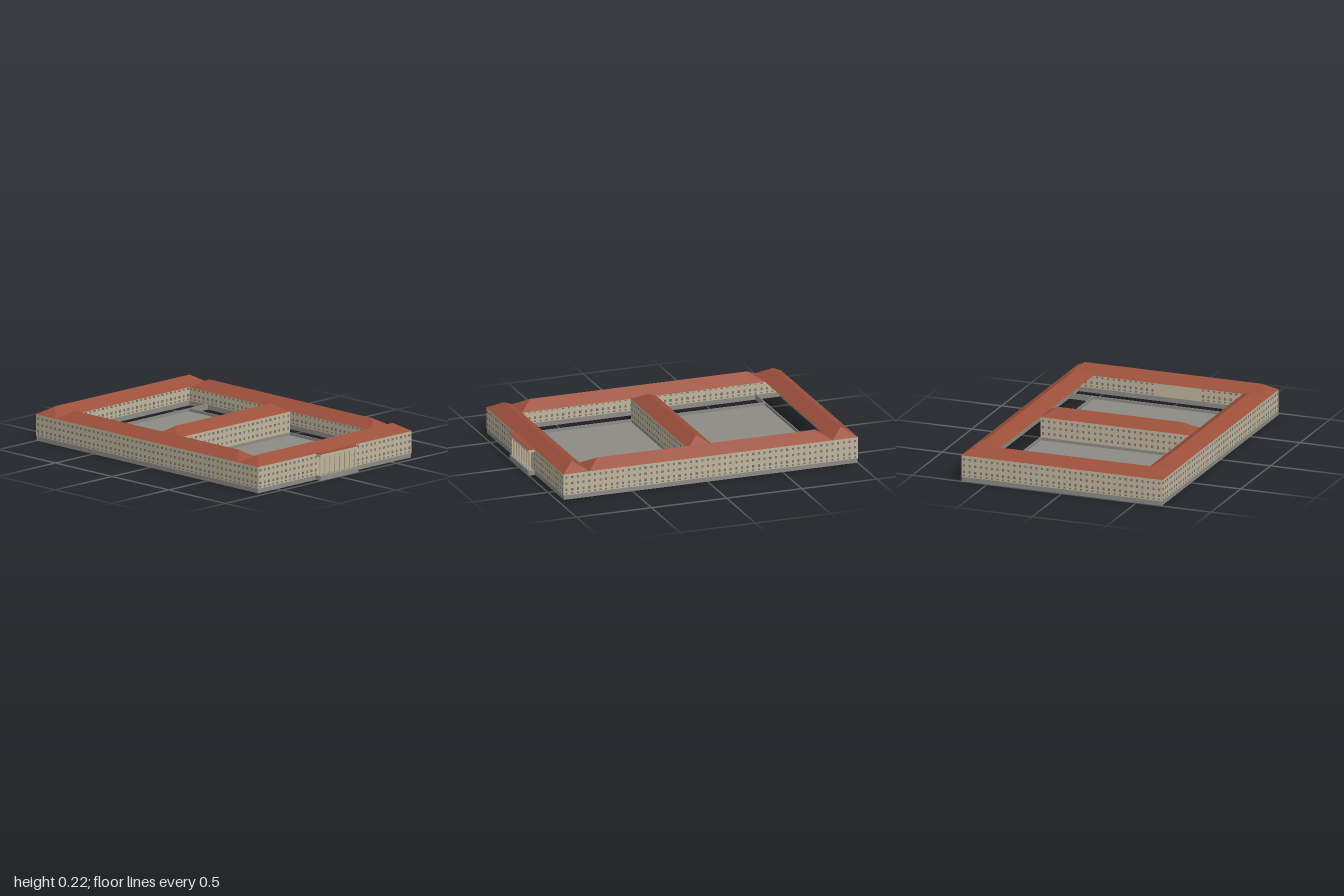
import * as THREE from 'three';
import { mergeGeometries } from 'three/addons/utils/BufferGeometryUtils.js';

const mat = (name, color, opts = {}) => Object.assign(new THREE.MeshStandardMaterial({ color, ...opts }), { name });

export function createModel() {
  const wall = mat('limestone', 0xc2b59b);
  const stone = mat('grey stone', 0x8c8b86);
  const tile = mat('red roof tile', 0x9c4f3a, { flatShading: true });
  const glass = mat('window grey', 0x74777a);

  const model = new THREE.Group();
  model.name = 'courtyardBuilding';
  const add = (name, geo, material) => {
    const m = new THREE.Mesh(geo, material);
    m.name = name;
    model.add(m);
    return m;
  };
  // Box given by its limits on each axis
  const block = (x0, x1, y0, y1, z0, z1) =>
    new THREE.BoxGeometry(x1 - x0, y1 - y0, z1 - z0).translate((x0 + x1) / 2, (y0 + y1) / 2, (z0 + z1) / 2);

  const X = 0.672, XI = 0.5;              // outer and courtyard edges in x
  const ZF = 0.96, ZFI = 0.79;            // front wing
  const ZB = -1, ZBI = -0.83;             // back wing
  const C0 = -0.105, C1 = 0.065;          // cross wing
  const BASE = 0.03, EAVE = 0.17, RIDGE = 0.222, T = 0.006, IN = 0.003;

  // Thin outer walls standing on a slightly recessed plinth
  const outer = (name, x0, x1, z0, z1, dx, dz) => {
    add(name + 'Wall', block(x0, x1, BASE, EAVE, z0, z1), wall);
    add(name + 'Plinth', block(x0 + dx, x1 + dx, 0, BASE, z0 + dz, z1 + dz), stone);
  };
  outer('front', -X, X, ZF - T, ZF, 0, -IN);
  outer('back', -X, X, ZB, ZB + T, 0, IN);
  outer('left', X - T, X, ZB + T, ZF - T, -IN, 0);
  outer('right', -X, -X + T, ZB + T, ZF - T, IN, 0);

  // Low plinth strips along the courtyard side of the wings
  for (const z of [ZFI, ZBI]) add('courtyardPlinth', block(-X + T, X - T, 0, 0.037, z - T / 2, z + T / 2), stone);
  for (const s of [-1, 1]) add('courtyardPlinth', block(s * XI - T / 2, s * XI + T / 2, 0, 0.037, ZBI, ZFI), stone);
  add('courtyardFloor', block(-XI, XI, 0.004, 0.018, ZBI, ZFI), stone);

  // Cross wing
  add('crossWingPlinth', block(-XI + IN, XI - IN, 0.018, 0.037, C0 + IN, C1 - IN), stone);
  add('crossWingWalls', block(-XI, XI, 0.037, EAVE, C0 + 0.002, C1 - 0.002), wall);

  // Hipped roof over a rectangle, ridge along its longer side
  const hip = (x0, x1, z0, z1) => {
    const p = (x, y, z) => [x, y, z];
    let c = [p(x0, EAVE, z1), p(x1, EAVE, z1), p(x1, EAVE, z0), p(x0, EAVE, z0)];
    const h = Math.min(x1 - x0, z1 - z0) / 2, xm = (x0 + x1) / 2, zm = (z0 + z1) / 2;
    let r0 = p(x0 + h, RIDGE, zm), r1 = p(x1 - h, RIDGE, zm);
    if (z1 - z0 > x1 - x0) {
      c = [c[1], c[2], c[3], c[0]];
      r0 = p(xm, RIDGE, z1 - h);
      r1 = p(xm, RIDGE, z0 + h);
    }
    const [a, b, d, e] = c;
    const tris = [a, b, r1, a, r1, r0, b, d, r1, d, e, r0, d, r0, r1, e, a, r0];
    const g = new THREE.BufferGeometry();
    g.setAttribute('position', new THREE.Float32BufferAttribute(tris.flat(), 3));
    g.computeVertexNormals();
    return g;
  };
  const wings = {
    front: [-X - 0.003, X + 0.003, ZFI, ZF + 0.003],
    back: [-X - 0.003, X + 0.003, ZB, ZBI],
    left: [XI, X + 0.003, ZBI, ZFI],
    right: [-X - 0.003, -XI, ZBI, ZFI],
    cross: [-XI, XI, C0, C1],
  };
  for (const [name, [x0, x1, z0, z1]] of Object.entries(wings)) {
    add(name + 'Roof', hip(x0, x1, z0, z1), tile);
    if (name !== 'cross') {
      const e = 0.004;
      add(name + 'Ceiling', block(x0 + e, x1 - e, EAVE - 0.004, EAVE - 0.001, z0 + e, z1 - e), wall);
    }
  }

  // Window rows: centre height and pane height
  const rows = [[0.146, 0.015], [0.106, 0.015], [0.065, 0.017], [0.041, 0.009]];
  const windows = (name, from, to, count, at, alongX, skip = () => false) => {
    const panes = [], depth = T + 0.003, w = 0.0135;
    for (let i = 0; i < count; i++) {
      const u = from + ((to - from) * (i + 0.5)) / count;
      if (skip(u)) continue;
      for (const [y, h] of rows) {
        panes.push(alongX
          ? new THREE.BoxGeometry(w, h, depth).translate(u, y, at)
          : new THREE.BoxGeometry(depth, h, w).translate(at, y, u));
      }
    }
    add(name, mergeGeometries(panes), glass);
  };
  windows('frontWindows', -X, X, 36, ZF - T / 2, true, (u) => Math.abs(u) < 0.165);
  windows('backWindows', -X, X, 36, ZB + T / 2 + 0.001, true);
  for (const s of [-1, 1]) windows('sideWindows', ZB, ZF, 52, s * (X - T / 2), false);
  rows.pop();
  windows('crossFrontWindows', -XI, XI, 26, C1 - 0.002 - T / 2, true);
  windows('crossBackWindows', -XI, XI, 26, C0 + 0.002 + T / 2, true);

  // Portico: base, eight columns, entablature and a flat roof
  const P = 0.165;
  add('porticoBase', block(-P - 0.002, P + 0.002, 0, BASE, ZF - IN, 1), stone);
  add('porticoEntablature', block(-P, P, 0.149, 0.168, ZF, 0.999), wall);
  add('porticoRoof', block(-P - 0.001, P + 0.001, 0.168, 0.172, ZF, 1), tile);
  for (let i = 0; i < 8; i++) {
    const column = new THREE.CylinderGeometry(0.0065, 0.0075, 0.149 - BASE, 12);
    add('column', column, wall).position.set(-0.152 + (0.304 * i) / 7, (0.149 + BASE) / 2, 0.986);
  }
  return model;
}
